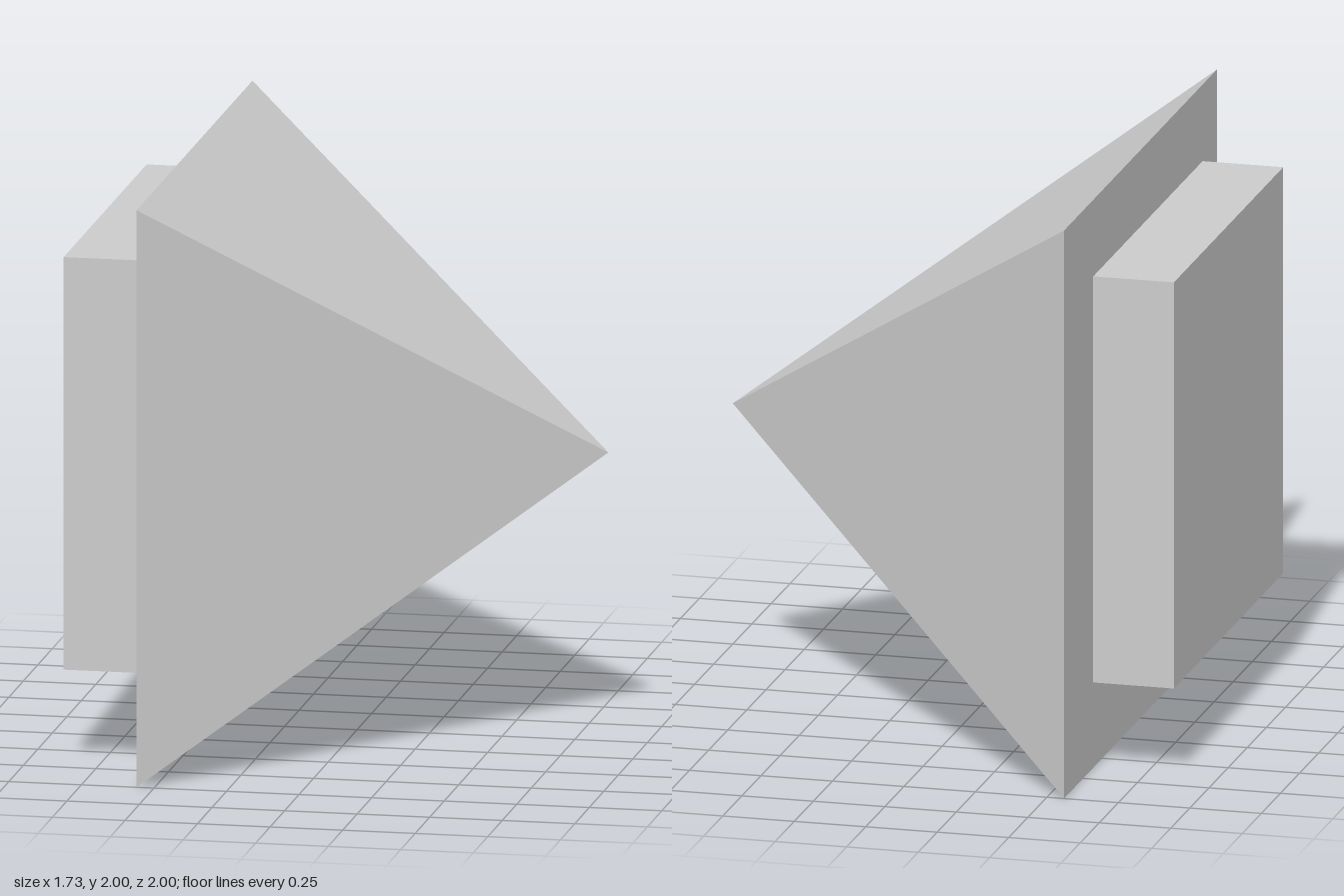
import * as THREE from 'three';

export function createModel() {
  const group = new THREE.Group();
  const material = new THREE.MeshStandardMaterial({ color: 0xcccccc, flatShading: true });

  // Square pyramid lying on its side, apex towards +x
  const baseX = -0.56, apexX = 0.866;
  const pyramidGeometry = new THREE.ConeGeometry(Math.SQRT2, apexX - baseX, 4);
  pyramidGeometry.rotateY(Math.PI / 4).rotateZ(-Math.PI / 2);
  const pyramid = new THREE.Mesh(pyramidGeometry, material);
  pyramid.name = 'pyramid';
  pyramid.position.set((baseX + apexX) / 2, 1, 0);
  group.add(pyramid);

  // Flat square block floating just behind the pyramid's base
  const block = new THREE.Mesh(new THREE.BoxGeometry(0.282, 1.43, 1.43), material);
  block.name = 'backBlock';
  block.position.set(-0.727, 1.045, 0);
  group.add(block);

  return group;
}
